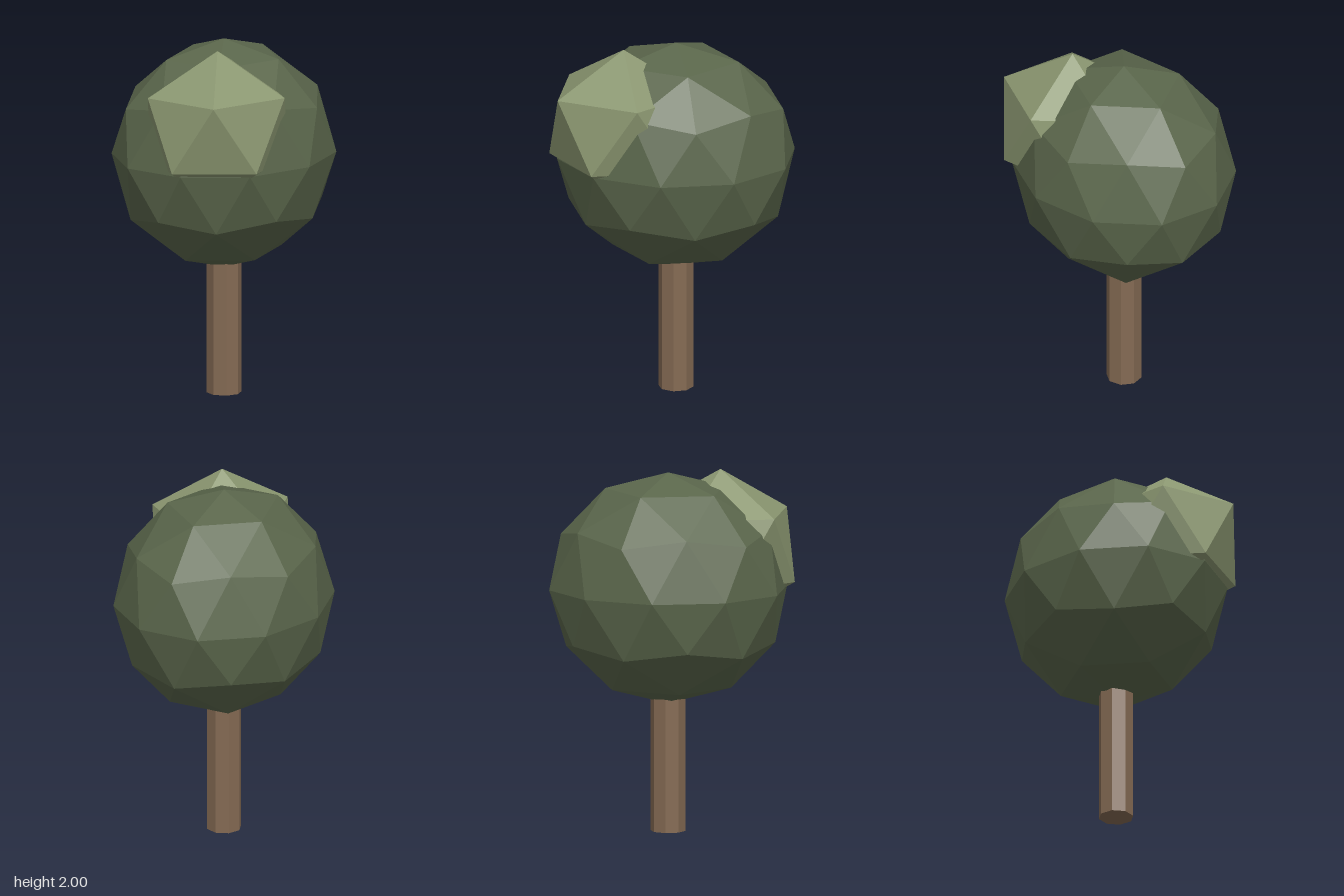
import * as THREE from 'three';

const flat = (name, color) => {
  const m = new THREE.MeshStandardMaterial({ color, flatShading: true });
  m.name = name;
  return m;
};

// Faceted ball with a corner at each pole and an upper-ring corner facing +x
function foliageBall(name, material, detail, [rx, ry, rz], [x, y, z]) {
  const geo = new THREE.IcosahedronGeometry(1, detail);
  geo.rotateX(-Math.atan((1 + Math.sqrt(5)) / 2));
  geo.rotateY(Math.PI / 2);
  geo.scale(rx, ry, rz);
  geo.computeVertexNormals();
  const mesh = new THREE.Mesh(geo, material);
  mesh.name = name;
  mesh.position.set(x, y, z);
  return mesh;
}

export function createModel() {
  const tree = new THREE.Group();
  tree.name = 'tree';

  // Eight-sided trunk, its top buried in the crown
  const trunkHeight = 1.0;
  const trunk = new THREE.Mesh(
    new THREE.CylinderGeometry(0.097, 0.097, trunkHeight, 8),
    flat('bark brown', 0x846a53)
  );
  trunk.name = 'trunk';
  trunk.position.set(0.018, trunkHeight / 2, 0);
  tree.add(trunk);

  // Large dark crown and a smaller light clump breaking through it
  tree.add(foliageBall('crown', flat('dark leaf green', 0x5a664b), 1,
    [0.668, 0.645, 0.593], [0.018, 1.355, 0]));
  tree.add(foliageBall('leafClump', flat('light leaf green', 0x8a9670), 0,
    [0.463, 0.43, 0.433], [-0.25, 1.57, 0.16]));

  return tree;
}
